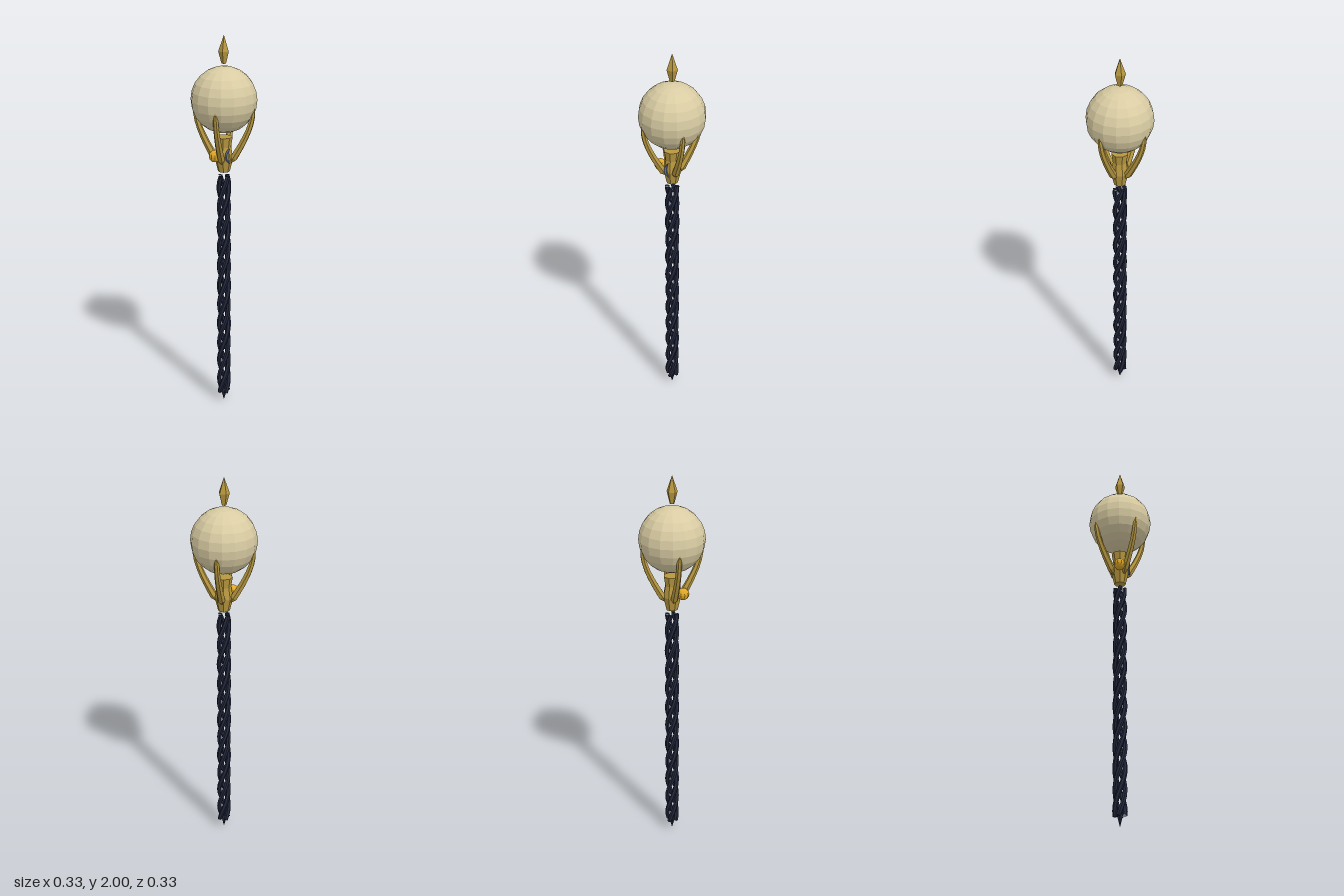
import * as THREE from 'three';

const mat = (color) => new THREE.MeshStandardMaterial({ color, flatShading: true });
const gold = mat(0xb8983f);
const brightGold = mat(0xe0a826);
const ivory = mat(0xd9cca3);
const navy = mat(0x23283d);
const steel = mat(0x66779c);

function add(parent, name, geometry, material, x = 0, y = 0, z = 0) {
  const mesh = new THREE.Mesh(geometry, material);
  mesh.name = name;
  mesh.position.set(x, y, z);
  parent.add(mesh);
  return mesh;
}

const lathe = (points, sides) =>
  new THREE.LatheGeometry(points.map(([r, y]) => new THREE.Vector2(r, y)), sides);

// Tube whose radius follows widthAt(t) from one end to the other
function taperedTube(curve, steps, sides, widthAt) {
  const geometry = new THREE.TubeGeometry(curve, steps, 1, sides, false);
  const pos = geometry.attributes.position;
  const p = new THREE.Vector3();
  for (let i = 0; i <= steps; i++) {
    const centre = curve.getPointAt(i / steps);
    for (let j = 0; j <= sides; j++) {
      const k = i * (sides + 1) + j;
      p.fromBufferAttribute(pos, k).sub(centre).multiplyScalar(widthAt(i / steps)).add(centre);
      pos.setXYZ(k, p.x, p.y, p.z);
    }
  }
  geometry.computeVertexNormals();
  return geometry;
}

// Strand of the twisted shaft
class Helix extends THREE.Curve {
  constructor(phase) {
    super();
    this.phase = phase;
  }
  getPoint(t, target = new THREE.Vector3()) {
    const y = 0.055 + 1.23 * t;
    const a = this.phase - ((y - 1.0) / 0.436) * Math.PI * 2;
    return target.set(0.025 * Math.cos(a), y, 0.025 * Math.sin(a));
  }
}

export function createModel() {
  const root = new THREE.Group();
  root.name = 'sceptre';

  // Shaft of four twisted strands, with a spike at the foot
  const shaft = new THREE.Group();
  shaft.name = 'shaft';
  root.add(shaft);
  for (let i = 0; i < 4; i++) {
    const phase = Math.PI / 4 + (i * Math.PI) / 2;
    const curve = new Helix(phase);
    add(shaft, 'strand', taperedTube(curve, 48, 6, (t) => (t === 0 || t === 1 ? 0.0115 : 0.0125)), navy);
    for (const end of [0, 1]) {
      const p = curve.getPoint(end);
      const cap = add(shaft, 'strandEnd', new THREE.CircleGeometry(0.0115, 6), navy, p.x, p.y, p.z);
      cap.rotation.x = end ? -Math.PI / 2 : Math.PI / 2;
    }
  }
  add(shaft, 'footSpike', lathe([[0, 0], [0.015, 0.055], [0.012, 0.09], [0, 0.11]], 6), navy);

  // Faceted collar
  add(root, 'collar', lathe([
    [0, 1.31], [0.03, 1.31], [0.047, 1.38], [0.036, 1.44], [0.044, 1.49], [0, 1.49],
  ], 8), gold);

  // Four claws holding the orb
  const path = new THREE.CatmullRomCurve3(
    [[0.03, 1.35], [0.058, 1.395], [0.1, 1.47], [0.135, 1.55], [0.155, 1.645]]
      .map(([r, y]) => new THREE.Vector3(r, y, 0)), false, 'catmullrom', 0.15);
  const clawGeometry = taperedTube(path, 8, 6, (t) => {
    if (t === 0) return 0;
    if (t === 1) return 0.004;
    return 0.021 - 0.009 * t;
  });
  for (let i = 0; i < 4; i++) {
    const claw = add(root, 'claw', clawGeometry, gold);
    claw.rotation.y = -(55.5 * Math.PI) / 180 + (i * Math.PI) / 2;
  }

  // Orb
  add(root, 'orb', new THREE.SphereGeometry(0.166, 16, 12), ivory, 0, 1.68, 0);

  // Sun bead on the front
  add(root, 'sunBead', new THREE.SphereGeometry(0.031, 10, 8), brightGold, 0, 1.4, 0.059);

  // Crescent on the +x side, its horns pointing backward
  const moon = new THREE.Shape();
  moon.moveTo(0.002, 0.038);
  moon.quadraticCurveTo(-0.042, 0, 0.002, -0.038);
  moon.quadraticCurveTo(-0.016, 0, 0.002, 0.038);
  const moonGeometry = new THREE.ExtrudeGeometry(moon, { depth: 0.012, bevelEnabled: false, curveSegments: 8 });
  const crescent = add(root, 'crescent', moonGeometry, steel, 0.042, 1.4, 0.008);
  crescent.rotation.y = Math.PI / 2;

  // Five-sided finial floating above the orb
  const finial = add(root, 'finial',
    lathe([[0, 1.86], [0.012, 1.86], [0.028, 1.92], [0, 2]], 5), gold);
  finial.rotation.y = Math.PI;

  return root;
}
